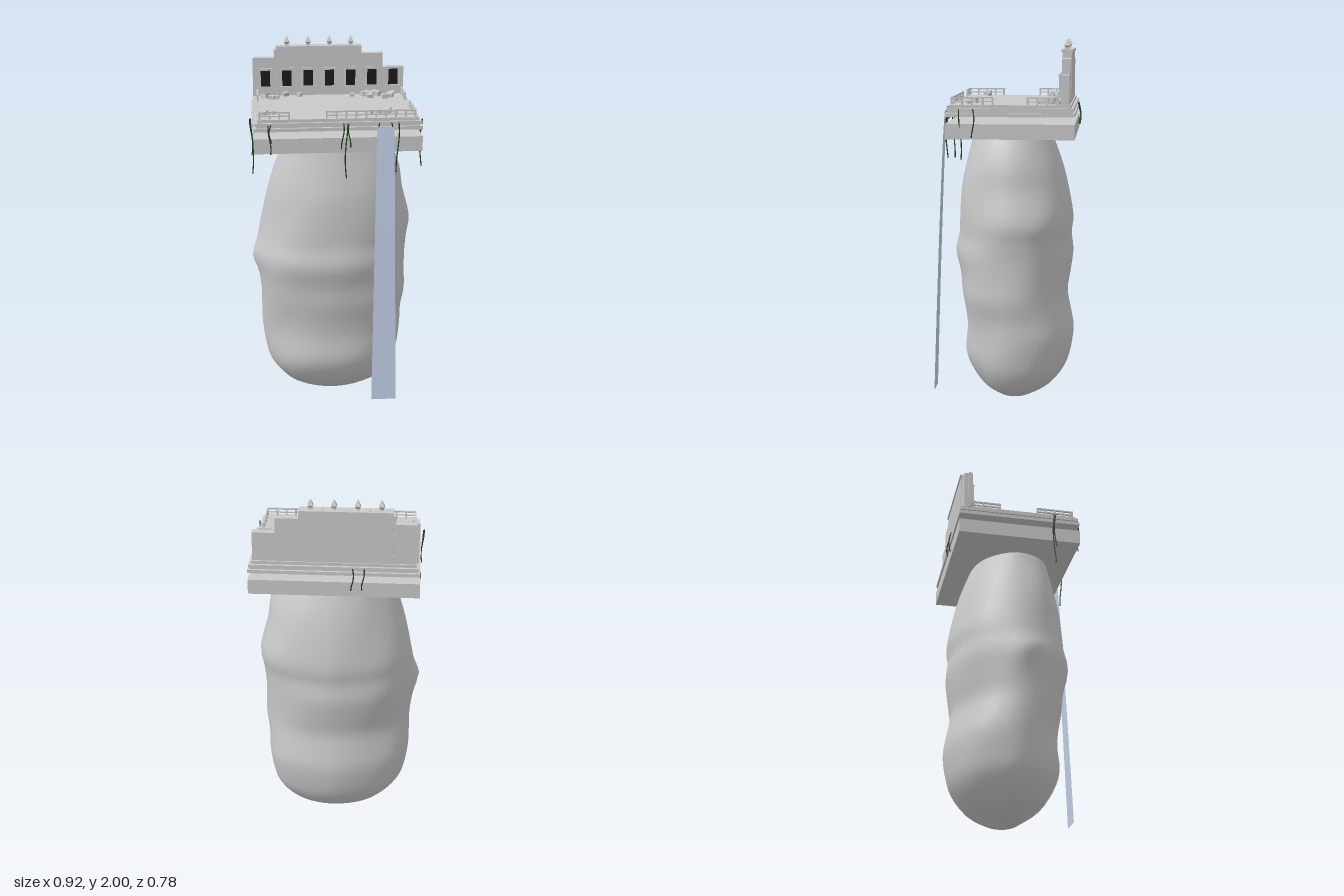
import * as THREE from 'three';

const mat = (name, color, extra = {}) => Object.assign(new THREE.MeshStandardMaterial({ color, ...extra }), { name });

export function createModel() {
  const root = new THREE.Group();
  root.name = 'floatingTerrace';
  const stone = mat('stone', 0xc8c8c8);
  const glass = mat('dark glass', 0x1a1a1a);
  const vineGreen = mat('vine green', 0x22401e);
  const water = mat('water', 0xc6d4ec, { side: THREE.DoubleSide });

  const add = (name, geo, material, parent = root) => {
    const m = new THREE.Mesh(geo, material);
    m.name = name;
    parent.add(m);
    return m;
  };
  const group = (name) => {
    const g = new THREE.Group();
    g.name = name;
    root.add(g);
    return g;
  };
  // Box given by its limits on each axis
  const box = (name, x0, x1, y0, y1, z0, z1, material = stone, parent = root) => {
    const m = add(name, new THREE.BoxGeometry(x1 - x0, y1 - y0, z1 - z0), material, parent);
    m.position.set((x0 + x1) / 2, (y0 + y1) / 2, (z0 + z1) / 2);
    return m;
  };
  let seed = 7;
  const rand = () => (seed = (seed * 16807) % 2147483647) / 2147483647;

  // Hanging rock: rows of height, left, right, front and back extents
  const rows = [
    [0.008, -0.06, 0.06, 0.01, -0.08], [0.02, -0.125, 0.125, 0.045, -0.11], [0.045, -0.2, 0.195, 0.085, -0.16],
    [0.1, -0.285, 0.285, 0.16, -0.245], [0.19, -0.36, 0.345, 0.22, -0.315],
    [0.28, -0.388, 0.37, 0.247, -0.345], [0.4, -0.405, 0.385, 0.237, -0.36],
    [0.5, -0.408, 0.387, 0.245, -0.345], [0.61, -0.408, 0.403, 0.265, -0.325],
    [0.72, -0.42, 0.4, 0.275, -0.34], [0.84, -0.433, 0.4, 0.3, -0.355],
    [0.94, -0.422, 0.41, 0.28, -0.345], [1.04, -0.405, 0.423, 0.275, -0.353],
    [1.2, -0.37, 0.382, 0.265, -0.325], [1.32, -0.335, 0.365, 0.24, -0.295],
    [1.42, -0.3, 0.33, 0.215, -0.26], [1.5, -0.275, 0.29, 0.195, -0.23],
  ];
  const spline = (a, b) => new THREE.CatmullRomCurve3(
    rows.map(r => new THREE.Vector3(r[a], r[0], r[b])), false, 'catmullrom');
  const sides = spline(1, 2), ends = spline(3, 4);
  const seg = 48, levels = 48, pos = [0, 0.004, -0.035], idx = [];
  for (let i = 0; i <= levels; i++) {
    const { x: l, y, z: r } = sides.getPoint(i / levels);
    const { x: f, z: b } = ends.getPoint(i / levels);
    for (let j = 0; j < seg; j++) {
      const a = (j / seg) * Math.PI * 2, c = Math.cos(a), s = Math.sin(a);
      const k = Math.pow(Math.abs(c) ** 2.25 + Math.abs(s) ** 2.25, -1 / 2.25);
      const diagonal = Math.max(0, Math.sin(2 * a)) * (c > 0 ? 0.035 : 0.085);
      const lump = 1 - diagonal + 0.018 * Math.sin(2 * a) ** 2 * Math.sin(3 * a + y * 9);
      const knob = 0.025 * Math.exp(-(((y - 0.84) / 0.07) ** 2) - ((a - 2.98) / 0.25) ** 2);
      pos.push(c * k * lump * (c > 0 ? r : -l) - knob, y, (f + b) / 2 + s * k * lump * (f - b) / 2);
      const p = 1 + i * seg + j, q = 1 + i * seg + (j + 1) % seg;
      if (i === 0) idx.push(0, p, q);
      if (i < levels) idx.push(p, p + seg, q, q, p + seg, q + seg);
    }
  }
  const rockGeo = new THREE.BufferGeometry();
  rockGeo.setAttribute('position', new THREE.Float32BufferAttribute(pos, 3));
  rockGeo.setIndex(idx);
  rockGeo.computeVertexNormals();
  add('rock', rockGeo, stone);

  // Base slab, then the stepped terrace hovering just above it
  box('baseSlab', -0.44, 0.44, 1.492, 1.571, -0.37, 0.3);
  const deck = group('terrace');
  [[0, 1.608, 1.626], [0.014, 1.626, 1.636], [0.006, 1.636, 1.652], [0.02, 1.652, 1.668]].forEach(([d, y0, y1], i) =>
    box('terraceStep' + i, -0.44 + d, 0.44 - d, y0, y1, -0.37 + d, 0.3 - d, stone, deck));

  // Facade: four central bays between lower wings
  const hall = group('facade');
  const floor = 1.665;
  box('leftWing', -0.418, -0.3, floor, 1.88, -0.342, -0.296, stone, hall);
  box('endPilaster', -0.43, -0.418, floor, 1.88, -0.32, -0.3, stone, hall);
  box('cornerStep', -0.31, -0.3, floor, 1.925, -0.342, -0.294, stone, hall);
  for (let i = 0; i < 4; i++) {
    const x0 = -0.299 + i * 0.119, x1 = x0 + 0.118;
    box('bay' + i, x0, x1 + 0.001, floor, 1.932, -0.344, -0.294, stone, hall);
    box('cornice' + i, x0, x1, 1.932, 1.945, -0.35, -0.287, stone, hall);
  }
  box('innerRightWing', 0.177, 0.297, floor, 1.9, -0.342, -0.296, stone, hall);
  box('outerRightWing', 0.297, 0.415, floor, 1.82, -0.34, -0.296, stone, hall);

  // Seven framed windows
  for (let i = 0; i < 7; i++) {
    const x = -0.36 + i * 0.1192;
    const win = group('window' + i);
    box('pane', x - 0.026, x + 0.026, 1.722, 1.811, -0.295, -0.288, glass, win);
    for (const s of [-1, 1]) box('jamb', x + s * 0.031 - 0.005, x + s * 0.031 + 0.005, 1.717, 1.814, -0.297, -0.286, stone, win);
    box('lintel', x - 0.036, x + 0.036, 1.811, 1.824, -0.297, -0.284, stone, win);
    box('sill', x - 0.04, x + 0.04, 1.706, 1.722, -0.297, -0.281, stone, win);
  }

  // Four pointed finials
  for (let i = 0; i < 4; i++) {
    const pts = [[0, 1.944], [0.014, 1.944], [0.012, 1.954], [0.021, 1.966], [0.009, 1.985], [0, 2]];
    const geo = new THREE.LatheGeometry(pts.map(p => new THREE.Vector2(...p)), 4, Math.PI / 4).toNonIndexed();
    geo.computeVertexNormals();
    add('finial' + i, geo, stone).position.set(-0.238 + i * 0.1187, 0, -0.315);
  }

  // Broken railings: two rails and evenly spaced posts between two points
  const rails = group('railings');
  const railing = (x0, z0, x1, z1) => {
    const t = 0.0045, alongX = z0 === z1, n = Math.max(2, Math.round((x1 - x0 + z1 - z0) / 0.05));
    for (const [y0, y1] of [[1.682, 1.688], [1.7, 1.708]])
      box('rail', x0 - t, x1 + t, y0, y1, z0 - t, z1 + t, stone, rails);
    for (let i = 0; i <= n; i++) {
      const x = alongX ? x0 + (x1 - x0) * i / n : x0, z = alongX ? z0 : z0 + (z1 - z0) * i / n;
      box('post', x - t, x + t, floor, 1.705, z - t, z + t, stone, rails);
    }
  };
  railing(-0.408, 0.267, -0.255, 0.267);
  railing(-0.06, 0.267, 0.404, 0.267);
  railing(-0.408, 0.07, -0.408, 0.267);
  railing(-0.408, -0.285, -0.408, -0.14);
  railing(0.404, 0.055, 0.404, 0.267);
  railing(0.404, -0.28, 0.404, -0.125);

  // Fallen blocks: x, z, width, depth, turn
  const rubble = group('rubble');
  [
    [-0.365, -0.233, 0.033, 0.05, -0.5], [-0.36, -0.255, 0.025, 0.02, 0.5], [-0.33, -0.207, 0.035, 0.022, -0.3],
    [-0.298, -0.213, 0.02, 0.033, -0.2], [-0.25, -0.278, 0.032, 0.026, 0.5], [-0.173, -0.262, 0.025, 0.022, -0.7],
    [0.12, -0.237, 0.022, 0.02, 0], [0.185, -0.25, 0.03, 0.03, 0.7], [0.212, -0.238, 0.05, 0.035, -0.7],
    [0.255, -0.252, 0.048, 0.035, -0.6], [0.218, -0.2, 0.034, 0.024, 0], [0.295, -0.178, 0.036, 0.024, 0.3],
    [0.332, -0.21, 0.03, 0.045, -0.3], [0.338, -0.246, 0.03, 0.02, 0.5], [0.35, -0.28, 0.03, 0.02, -0.2],
    [0.32, -0.225, 0.024, 0.024, 0.4],
    [-0.382, 0.162, 0.028, 0.04, -0.4], [-0.332, 0.148, 0.026, 0.02, 0.5], [0.18, 0.19, 0.018, 0.018, 0.5],
    [0.227, 0.19, 0.022, 0.018, 0], [0.268, 0.173, 0.03, 0.052, -0.4], [0.31, 0.19, 0.014, 0.018, 0.5],
  ].forEach(([x, z, w, d, turn]) => {
    const h = 0.6 * Math.min(w, d) + 0.008;
    const b = add('fallenBlock', new THREE.BoxGeometry(w, h, d), stone, rubble);
    b.position.set(x, floor + h / 2 + 0.001, z);
    b.rotation.set((rand() - 0.5) * 0.3, turn, (rand() - 0.5) * 0.3);
  });

  // Gently spiralling vines: x, z, lowest point
  const vines = group('vines');
  [
    [-0.448, 0.155, 1.35], [-0.452, 0.16, 1.45], [-0.36, 0.306, 1.49], [-0.355, 0.308, 1.55],
    [0.02, 0.308, 1.51], [0.04, 0.306, 1.35], [0.055, 0.306, 1.52], [0.215, 0.307, 1.58],
    [0.28, 0.306, 1.52], [0.308, 0.306, 1.38], [0.443, 0.155, 1.5], [0.443, 0.22, 1.385],
    [-0.15, -0.377, 1.53], [-0.095, -0.38, 1.53],
  ].forEach(([x, z, low]) => {
    const pts = [], start = rand() * 6;
    for (let i = 0; i <= 6; i++) {
      const a = start + i * 0.75;
      pts.push(new THREE.Vector3(x + 0.007 * Math.cos(a), 1.648 + (low - 1.648) * i / 6, z + 0.007 * Math.sin(a)));
    }
    add('vine', new THREE.TubeGeometry(new THREE.CatmullRomCurve3(pts), 18, 0.0034, 5), vineGreen, vines);
  });

  // Waterfall sheet, widening and drifting forward as it drops
  const fall = new THREE.PlaneGeometry(1, 1, 1, 16);
  const p = fall.attributes.position;
  for (let i = 0; i < p.count; i++) {
    const t = 0.5 - p.getY(i), side = p.getX(i) * 2;
    p.setXYZ(i, 0.242 + side * (0.045 + 0.0225 * t), 1.628 - 1.526 * t, 0.32 + 0.068 * t ** 0.8);
  }
  fall.computeVertexNormals();
  add('waterfall', fall, water);

  return root;
}
